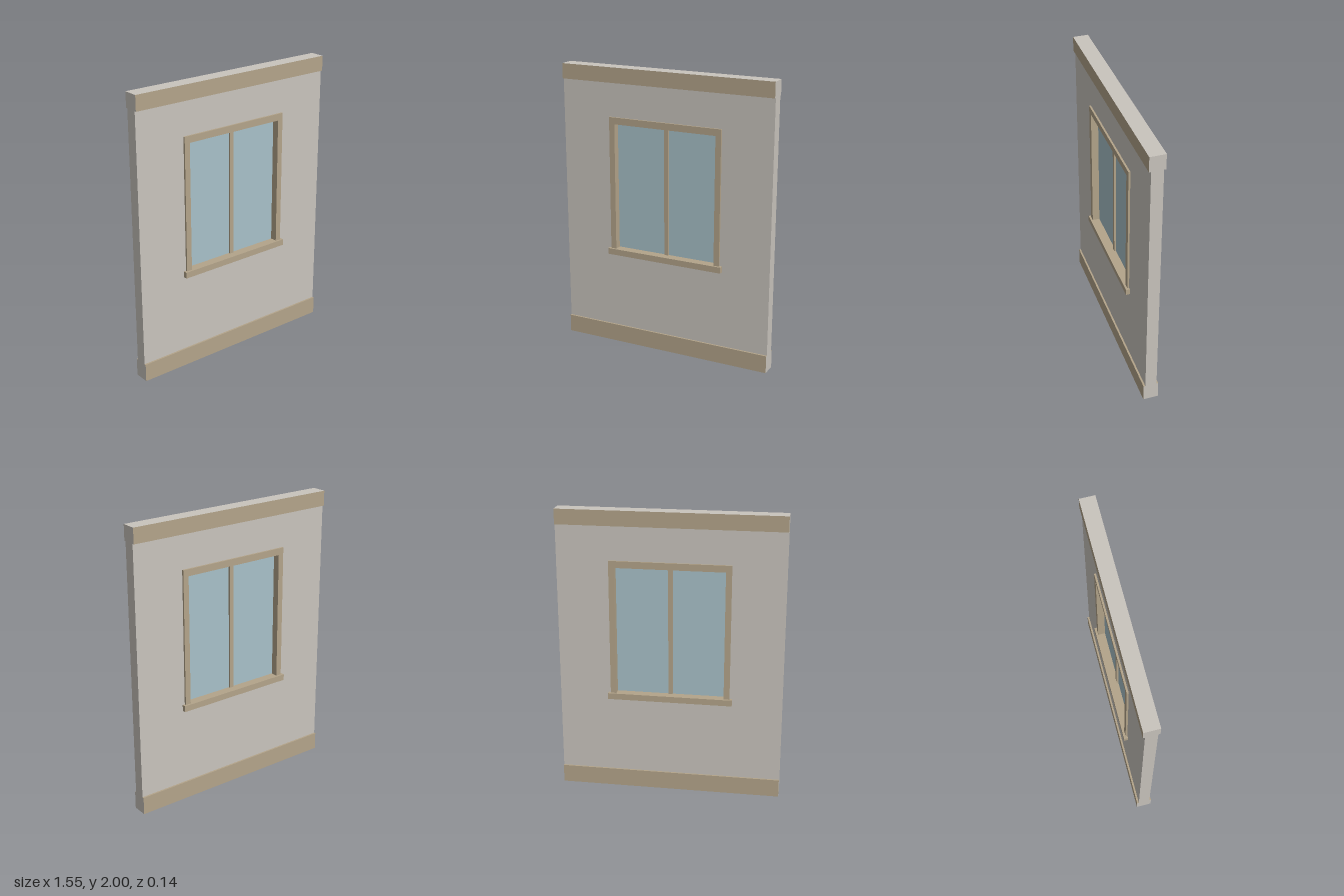
import * as THREE from 'three';

export function createModel() {
  const group = new THREE.Group();
  group.name = 'wallWithWindow';

  const paint = (name, color) => {
    const m = new THREE.MeshStandardMaterial({ color });
    m.name = name;
    return m;
  };
  const plaster = paint('plaster', 0xc9c4bd);
  const wood = paint('wood', 0xb3a48a);
  const glass = paint('glass', 0xa8c1c9);

  const W = 0.775, H = 2, D = 0.04; // half width, height, half depth of the wall
  const trimD = 0.053;              // half depth of bands and frame

  // Box given by its limits
  const box = (name, material, x0, x1, y0, y1, z0, z1) => {
    const mesh = new THREE.Mesh(new THREE.BoxGeometry(x1 - x0, y1 - y0, z1 - z0), material);
    mesh.position.set((x0 + x1) / 2, (y0 + y1) / 2, (z0 + z1) / 2);
    mesh.name = name;
    group.add(mesh);
    return mesh;
  };
  const rect = (Type, x, y0, y1) => {
    const s = new Type();
    s.moveTo(-x, y0).lineTo(x, y0).lineTo(x, y1).lineTo(-x, y1).closePath();
    return s;
  };
  // Upright panel with a rectangular opening
  const panel = (name, material, outer, inner, d) => {
    const shape = rect(THREE.Shape, ...outer);
    shape.holes.push(rect(THREE.Path, ...inner));
    const geo = new THREE.ExtrudeGeometry(shape, { depth: 2 * d, bevelEnabled: false });
    const mesh = new THREE.Mesh(geo.translate(0, 0, -d), material);
    mesh.name = name;
    group.add(mesh);
  };

  // Wall and window frame
  const frameOuter = [0.415, 0.7, 1.66], frameInner = [0.375, 0.71, 1.613];
  panel('wall', plaster, [W, 0, H], frameOuter, D);
  panel('windowFrame', wood, frameOuter, frameInner, trimD);

  // Bands along the floor and ceiling; their ends and outer edges are plaster
  for (const [side, z0, z1] of [['front', D, trimD], ['back', -trimD, -D]]) {
    box(side + 'Baseboard', [plaster, plaster, wood, plaster, wood, wood], -W, W, 0, 0.126, z0, z1);
    box(side + 'Cornice', [plaster, plaster, plaster, wood, wood, wood], -W, W, 1.895, H, z0, z1);
  }

  // Sill, glass and centre bar
  box('windowSill', wood, -0.432, 0.432, 0.672, 0.715, -0.068, 0.068);
  box('windowPane', glass, -0.375, 0.375, 0.715, 1.613, -0.003, 0.003);
  box('centreBar', wood, -0.015, 0.015, 0.715, 1.613, -0.015, 0.015);

  return group;
}
